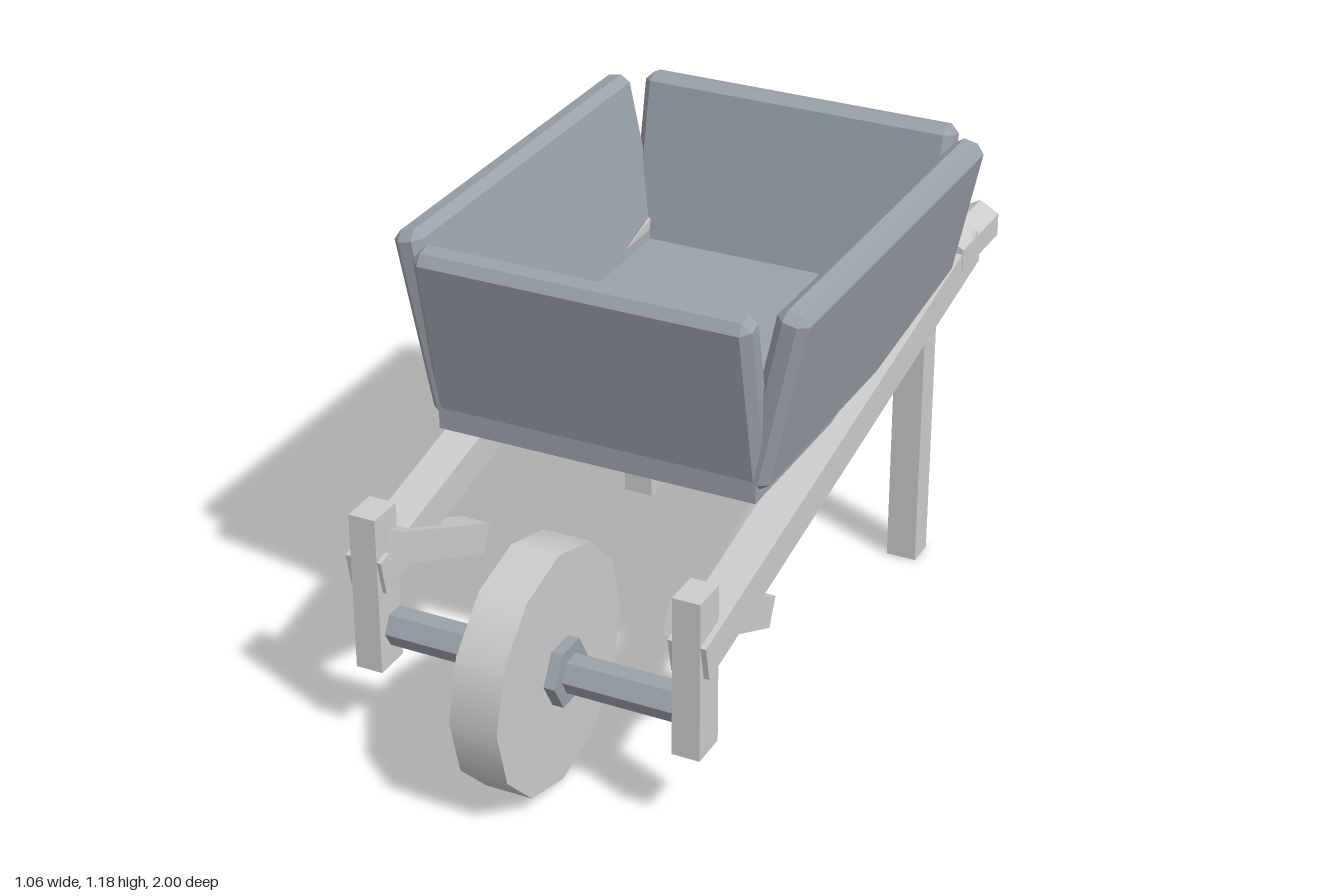
import * as THREE from 'three';
import { ConvexGeometry } from 'three/addons/geometries/ConvexGeometry.js';

const wood = new THREE.MeshStandardMaterial({ color: 0xcccccc });
const woodFlat = new THREE.MeshStandardMaterial({ color: 0xcccccc, flatShading: true });
const slate = new THREE.MeshStandardMaterial({ color: 0x9aa1aa, flatShading: true });

function add(parent, name, geometry, material, x, y, z, tilt = 0) {
  const mesh = new THREE.Mesh(geometry, material);
  mesh.name = name;
  mesh.position.set(x, y, z);
  mesh.rotation.x = tilt;
  parent.add(mesh);
  return mesh;
}

// Box with every edge cut at 45 degrees
function chamferedBox(w, h, d, c) {
  const points = [];
  for (const sx of [-1, 1]) for (const sy of [-1, 1]) for (const sz of [-1, 1]) {
    const x = w / 2, y = h / 2, z = d / 2;
    points.push(
      new THREE.Vector3(sx * x, sy * (y - c), sz * (z - c)),
      new THREE.Vector3(sx * (x - c), sy * y, sz * (z - c)),
      new THREE.Vector3(sx * (x - c), sy * (y - c), sz * z));
  }
  return new ConvexGeometry(points);
}

// Prism lying along x
const rod = (r, length, sides) =>
  new THREE.CylinderGeometry(r, r, length, sides).rotateZ(Math.PI / 2);

export function createModel() {
  const model = new THREE.Group();
  model.name = 'wheelbarrow';

  // Tub: floor and four panels leaning outwards
  const tub = new THREE.Group();
  tub.name = 'tub';
  tub.position.z = -0.155;
  model.add(tub);
  add(tub, 'tubFloor', new THREE.BoxGeometry(0.83, 0.075, 1.11), slate, 0, 0.7225, 0);
  const panels = [
    ['frontPanel', 0.86, 0.558], ['leftPanel', 1.11, 0.446],
    ['backPanel', 0.86, 0.558], ['rightPanel', 1.11, 0.446],
  ];
  panels.forEach(([name, width, offset], i) => {
    const side = new THREE.Group();
    side.name = name;
    side.rotation.y = i * Math.PI / 2;
    tub.add(side);
    add(side, name + 'Board', chamferedBox(width, 0.474, 0.08, 0.022), slate, 0, 0.948, offset, 0.209);
  });

  // Wheel, hub and axle
  add(model, 'wheel', rod(0.306, 0.122, 12), wood, 0, 0.306, 0.695);
  add(model, 'hub', rod(0.083, 0.18, 6), slate, 0, 0.307, 0.697);
  add(model, 'axle', rod(0.048, 0.79, 6), slate, 0, 0.307, 0.697);

  // Frame, the same on both sides
  for (const s of [-1, 1]) {
    const frame = new THREE.Group();
    frame.name = s > 0 ? 'leftFrame' : 'rightFrame';
    model.add(frame);
    add(frame, 'beam', new THREE.BoxGeometry(0.095, 0.093, 1.656), woodFlat, s * 0.4175, 0.641, -0.055, 0.209);
    add(frame, 'axlePost', new THREE.BoxGeometry(0.07, 0.416, 0.096), woodFlat, s * 0.416, 0.419, 0.717);
    add(frame, 'brace', new THREE.BoxGeometry(0.08, 0.078, 0.447), woodFlat, s * 0.385, 0.445, 0.517, -0.436);
    add(frame, 'leg', new THREE.BoxGeometry(0.08, 0.75, 0.078), woodFlat, s * 0.389, 0.375, -0.639);
    const grip = new THREE.CylinderGeometry(0.06, 0.06, 0.25, 6).rotateX(Math.PI / 2);
    add(frame, 'handleGrip', grip, woodFlat, s * 0.415, 0.818, -0.875);
  }
  return model;
}
